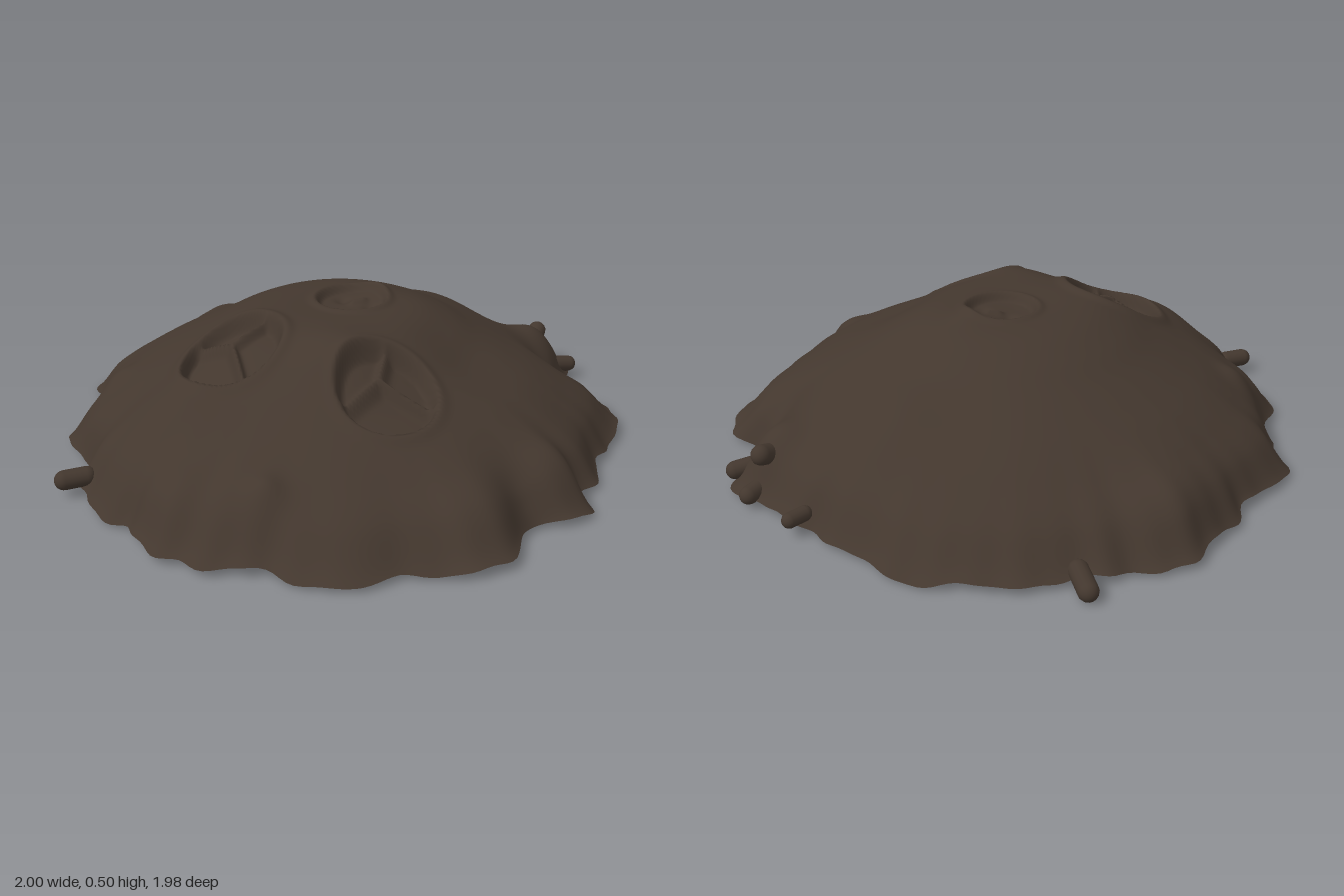
import * as THREE from 'three';

// Rim radius every 5 degrees, from +x towards +z
const RIM = [
  .95, .96, .97, 1.0, 1.02, .93, .89, .895, .98, .99, .98, .96, .93, .91, .91, .94, .91, .985,
  .985, .92, .915, .98, 1.03, 1.03, 1.0, .98, .98, 1.025, 1.01, 1.0, .97, .98, 1.02, 1.0, 1.02, .985,
  .95, .97, .965, .955, .945, .89, .9, .93, .95, .905, .89, .9, .91, .96, .97, .945, .92, .92,
  .95, .96, .98, 1.02, 1.01, .975, .99, .965, .995, 1.0, 1.0, 1.0, 1.01, 1.01, .975, .955, .955, .935];
const MEAN_RADIUS = .96;
const THICKNESS = .04;

// Mound height from the centre to the rim, in equal steps
const PROFILE = [.49, .495, .495, .48, .44, .385, .335, .285, .225, .155, .045];

// Soft lumps and hollows: x, z, radius, height
const LUMPS = [
  [-.7, -.1, .15, .045], [-.42, -.12, .18, .03], [-.53, -.57, .06, .03], [-.73, .38, .06, .035],
  [-.77, .3, .1, .02], [-.9, .12, .12, .045], [.2, -.9, .15, .05], [.45, -.45, .2, .01],
  [.84, .25, .1, .06], [.68, .46, .09, -.04], [.64, -.08, .16, .035], [.18, .02, .07, .02],
  [-.27, .25, .13, .035], [.12, .42, .15, -.025], [-.32, .85, .12, .025], [.05, .86, .09, .025],
  [-.12, .84, .06, -.02]];

// Small pits in the floor of the top crater
const DIMPLES = [[.07, -.05, .025, -.012], [.09, .06, .025, -.012]];

// Craters; arms are the ends of the ridges that divide the floor
const CRATERS = [
  { x: -.41, z: -.1, r: .175, depth: .06, hub: [-.39, -.12], arms: [[-.41, -.27], [-.24, -.1], [-.49, .04]] },
  { x: -.24, z: .415, r: .165, depth: .06, hub: [-.22, .37], arms: [[-.39, .36], [-.08, .29], [-.16, .54]] },
  { x: .06, z: 0, r: .125, depth: .02, hub: [.07, 0], arms: [[.1, .02]] }];

function segmentDistance(x, z, [ax, az], [bx, bz]) {
  const dx = bx - ax, dz = bz - az;
  const t = THREE.MathUtils.clamp(((x - ax) * dx + (z - az) * dz) / (dx * dx + dz * dz), 0, 1);
  return Math.hypot(x - ax - t * dx, z - az - t * dz);
}

const { smoothstep } = THREE.MathUtils;
const bell = (d) => Math.exp(-d * d);
const sumLumps = (lumps, x, z) =>
  lumps.reduce((y, [lx, lz, r, h]) => y + h * bell(Math.hypot(x - lx, z - lz) / r), 0);
const profile = new THREE.SplineCurve(PROFILE.map((y, i) => new THREE.Vector2(i / 10, y)));

// Shared shape of both skins, with a wavy lower edge
function baseHeight(x, z, t) {
  const angle = Math.atan2(z, x);
  const wave = .006 * Math.sin(angle * 7 + 1) + .006 * Math.sin(angle * 17) + .004 * Math.sin(angle * 29);
  return profile.getPoint(t).y + sumLumps(LUMPS, x, z) * (1 - .8 * smoothstep(t, .93, 1)) + wave * t ** 14;
}

// Upper skin with lipped craters and ridged floors
function outerHeight(x, z, t) {
  let y = baseHeight(x, z, t) + sumLumps(DIMPLES, x, z);
  for (const c of CRATERS) {
    const d = Math.hypot(x - c.x, z - c.z) / c.r;
    const inside = 1 - smoothstep(d, .82, .98);
    const near = Math.min(...c.arms.map((arm) => segmentDistance(x, z, c.hub, arm)));
    y += .01 * bell((d - 1.03) / .12) - c.depth * inside * (1 - .6 * bell(near / .014));
  }
  return y;
}

// Smoother lower skin, swelling under the two deep craters and meeting the rim
function innerHeight(x, z, t) {
  let y = baseHeight(x, z, t) - THICKNESS * (1 - t ** 8);
  for (const c of CRATERS.slice(0, 2)) {
    y -= .035 * (1 - smoothstep(Math.hypot(x - c.x, z - c.z) / c.r, .6, 1.25));
  }
  return y;
}

function skinGeometry(heightAt, segments, rings) {
  const rim = new THREE.CatmullRomCurve3(
    RIM.map((r, i) => {
      const a = i * Math.PI / 36;
      return new THREE.Vector3(r * Math.cos(a), 0, r * Math.sin(a));
    }), true, 'catmullrom', .5);
  const edge = Array.from({ length: segments }, (_, i) => {
    const p = rim.getPoint(i / segments), a = Math.atan2(p.z, p.x);
    return { a, r: p.length() + .004 * Math.sin(31 * a) + .004 * Math.sin(47 * a + 1) };
  });
  const positions = [0, heightAt(0, 0, 0), 0];
  const index = [];
  for (let j = 1; j <= rings; j++) {
    const t = j / rings;
    edge.forEach(({ a: angle, r }, i) => {
      // Rings are round near the middle and follow the ragged outline at the rim
      const radius = t * (MEAN_RADIUS + (r - MEAN_RADIUS) * t ** 7);
      const x = radius * Math.cos(angle), z = radius * Math.sin(angle);
      positions.push(x, heightAt(x, z, t), z);
      const next = (i + 1) % segments;
      const a = 1 + (j - 1) * segments + i, b = 1 + (j - 1) * segments + next;
      if (j === 1) index.push(0, b, a);
      if (j < rings) index.push(a, b, a + segments, b, b + segments, a + segments);
    });
  }
  const geometry = new THREE.BufferGeometry();
  geometry.setAttribute('position', new THREE.Float32BufferAttribute(positions, 3));
  geometry.setIndex(index);
  geometry.computeVertexNormals();
  return geometry;
}

export function createModel() {
  const model = new THREE.Group();
  model.name = 'crateredMound';
  const earth = new THREE.MeshStandardMaterial({ color: 0x43372e, side: THREE.DoubleSide });
  earth.name = 'darkEarth';

  // Hollow, open-bottomed shell
  const outer = new THREE.Mesh(skinGeometry(outerHeight, 288, 110), earth);
  outer.name = 'moundOutside';
  const inner = new THREE.Mesh(skinGeometry(innerHeight, 288, 60), earth);
  inner.name = 'moundUnderside';
  model.add(outer, inner);

  // Stubby knobs poking out of the rim: start, end, radius
  const knobs = [
    [[.54, .06, -.78], [.59, .055, -.86], .032],
    [[-.88, .08, -.29], [-.945, .08, -.32], .032],
    [[.92, .08, -.01], [.975, .08, -.01], .025],
    [[.84, .16, .24], [.905, .185, .22], .034],
    [[.87, .07, .24], [.965, .065, .22], .03],
    [[.86, .09, .33], [.92, .08, .36], .03]];
  knobs.forEach(([from, to, radius], i) => {
    const a = new THREE.Vector3(...from), b = new THREE.Vector3(...to);
    const knob = new THREE.Mesh(new THREE.CapsuleGeometry(radius, a.distanceTo(b), 6, 14), earth);
    knob.name = `rimKnob${i + 1}`;
    knob.position.copy(a).lerp(b, .5);
    knob.quaternion.setFromUnitVectors(new THREE.Vector3(0, 1, 0), b.clone().sub(a).normalize());
    model.add(knob);
  });
  return model;
}
